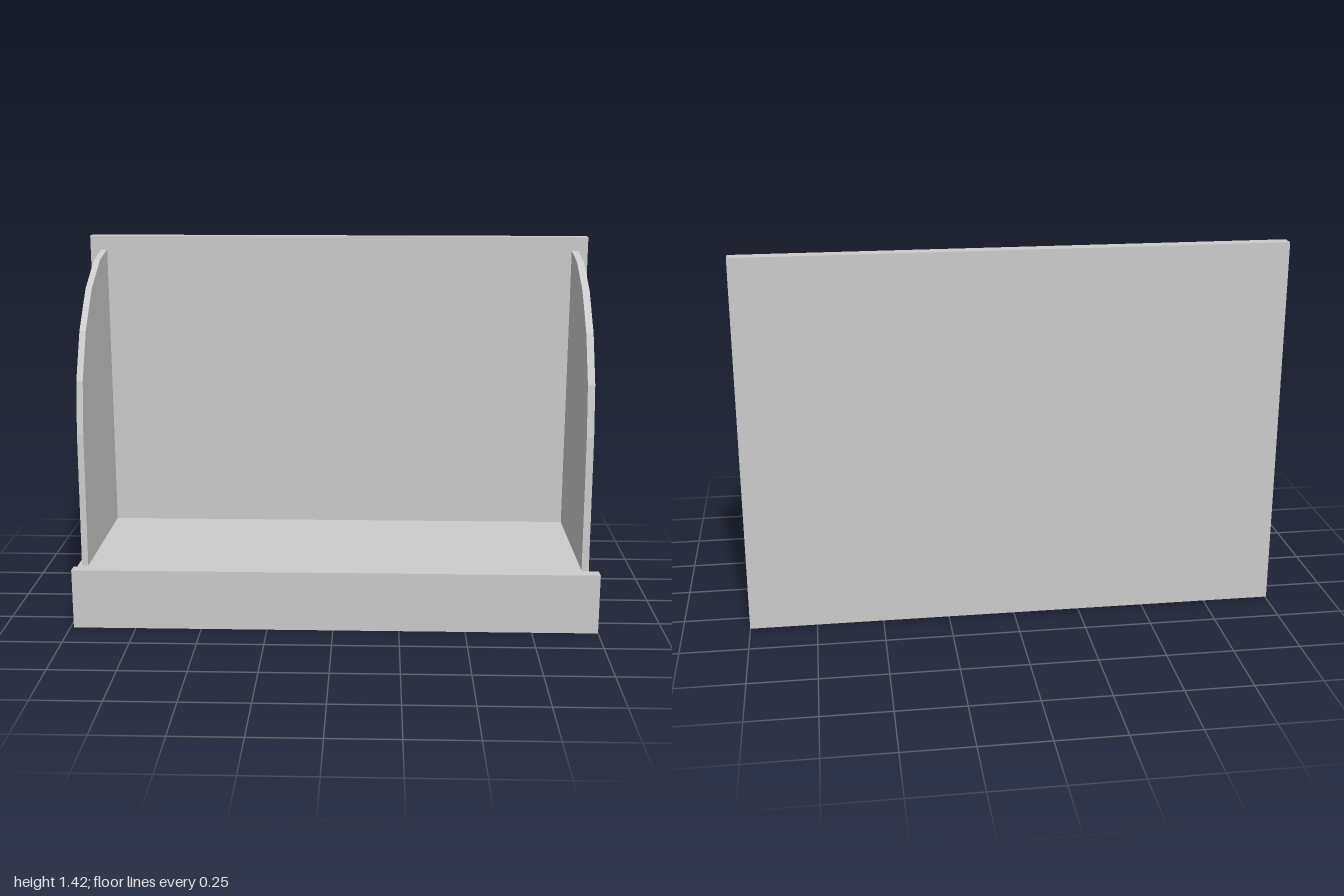
import * as THREE from 'three';

const material = new THREE.MeshStandardMaterial({ color: 0xcccccc, flatShading: true });

// Box given by its lower and upper limits on each axis
function board(name, [x0, x1], [y0, y1], [z0, z1]) {
  const mesh = new THREE.Mesh(new THREE.BoxGeometry(x1 - x0, y1 - y0, z1 - z0), material);
  mesh.name = name;
  mesh.position.set((x0 + x1) / 2, (y0 + y1) / 2, (z0 + z1) / 2);
  return mesh;
}

// Curved side panel, drawn as (z, y) and extruded along x
function sidePanel(name, x0, x1) {
  const outline = [
    [-0.305, 0.23], [0.302, 0.23], [0.287, 0.742], [0.257, 0.936],
    [0.166, 1.112], [0.027, 1.252], [-0.148, 1.34], [-0.305, 1.366],
  ];
  const shape = new THREE.Shape(outline.map(([z, y]) => new THREE.Vector2(-z, y)));
  const geometry = new THREE.ExtrudeGeometry(shape, { depth: x1 - x0, bevelEnabled: false });
  geometry.rotateY(Math.PI / 2);
  const mesh = new THREE.Mesh(geometry, material);
  mesh.name = name;
  mesh.position.x = x0;
  return mesh;
}

export function createModel() {
  const group = new THREE.Group();
  group.name = 'shelfBox';
  group.add(
    board('backBoard', [-1, 1], [0.007, 1.42], [-0.355, -0.303]),
    board('base', [-0.973, 0.963], [0.007, 0.23], [-0.303, 0.31]),
    board('frontBoard', [-0.987, 1], [0, 0.23], [0.31, 0.355]),
    sidePanel('leftSidePanel', 0.936, 0.963),
    sidePanel('rightSidePanel', -0.957, -0.933),
  );
  return group;
}
